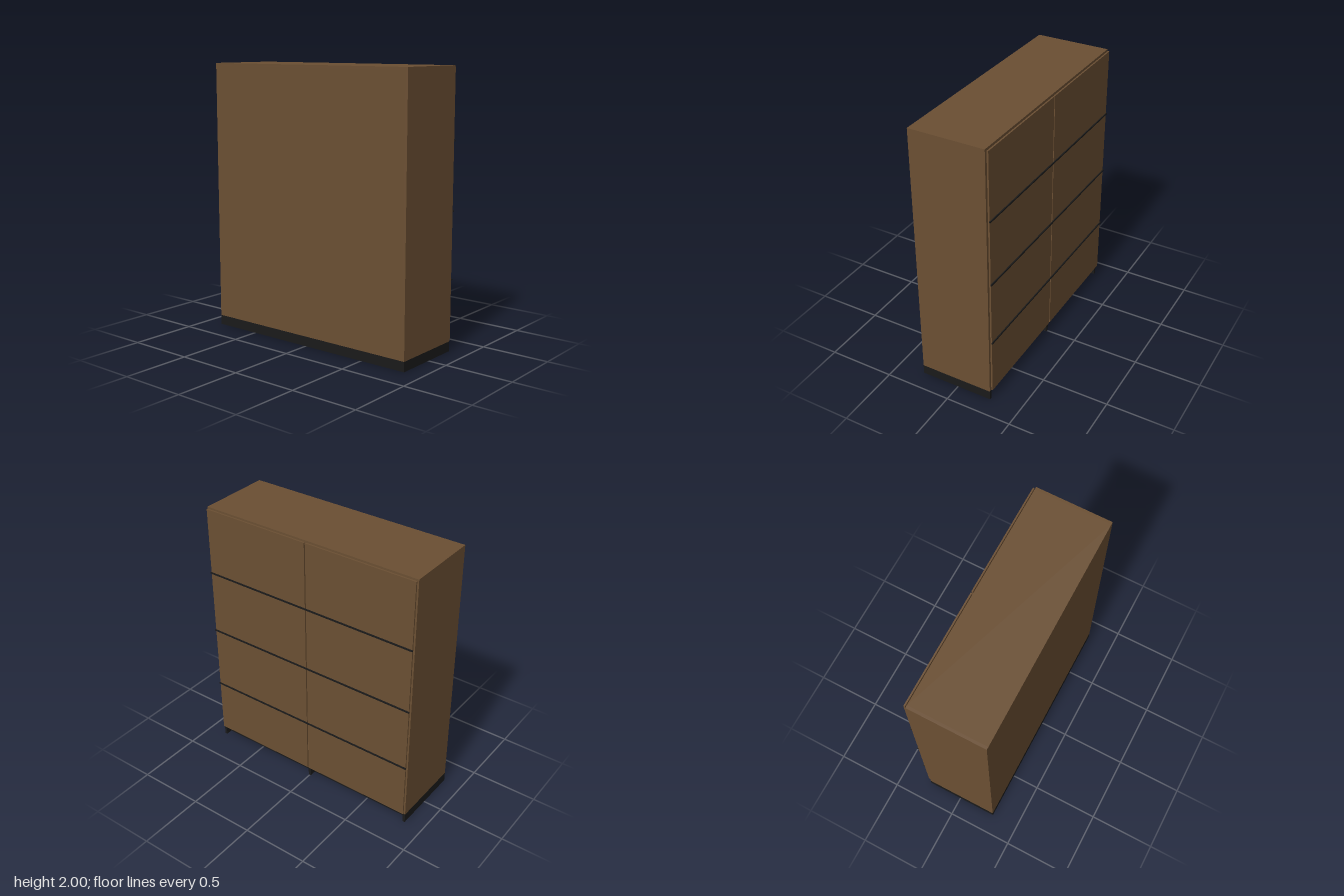
import * as THREE from 'three';

export function createModel() {
  const model = new THREE.Group();
  const wood = new THREE.MeshStandardMaterial({ color: 0x6b4f33 });
  const black = new THREE.MeshStandardMaterial({ color: 0x1a1a1a });

  // Box given by its limits on each axis
  const box = (name, material, [x0, x1], [y0, y1], [z0, z1]) => {
    const mesh = new THREE.Mesh(new THREE.BoxGeometry(x1 - x0, y1 - y0, z1 - z0), material);
    mesh.position.set((x0 + x1) / 2, (y0 + y1) / 2, (z0 + z1) / 2);
    mesh.name = name;
    model.add(mesh);
  };

  const back = -0.292, front = 0.265, halfWidth = 0.858, base = 0.072, t = 0.02;
  const inner = halfWidth - t;

  // Carcass panels, open towards the doors
  for (const s of [-1, 1]) {
    const z = [s * halfWidth, s * inner].sort((a, b) => a - b);
    box('sidePanel', wood, [back, front], [base, 2], z);
    box('plinthEnd', black, [back, front], [0, base], z);
  }
  box('topPanel', wood, [back, front], [2 - t, 2], [-inner, inner]);
  box('bottomPanel', wood, [back, front], [base, base + t], [-inner, inner]);
  box('backPanel', wood, [back, back + t], [base + t, 2 - t], [-inner, inner]);
  box('middleDivider', wood, [back + t, front], [base + t, 2 - t], [-t / 2, t / 2]);

  // Plinth with a recessed toe space and a middle support
  box('plinth', black, [back, front - 0.05], [0, base], [-inner, inner]);
  box('plinthMiddle', black, [front - 0.05, front], [0, base], [-t / 2, t / 2]);

  // Pair of doors standing just off the carcass, with horizontal trim strips
  for (const s of [-1, 1]) {
    const span = (a, b) => [s * a, s * b].sort((p, q) => p - q);
    box('door', wood, [0.273, 0.284], [0.088, 1.99], span(0.005, 0.85));
    for (const y of [0.515, 1.003, 1.491])
      box('trimStrip', black, [0.284, 0.292], [y - 0.005, y + 0.005], span(0, 0.855));
  }
  return model;
}
